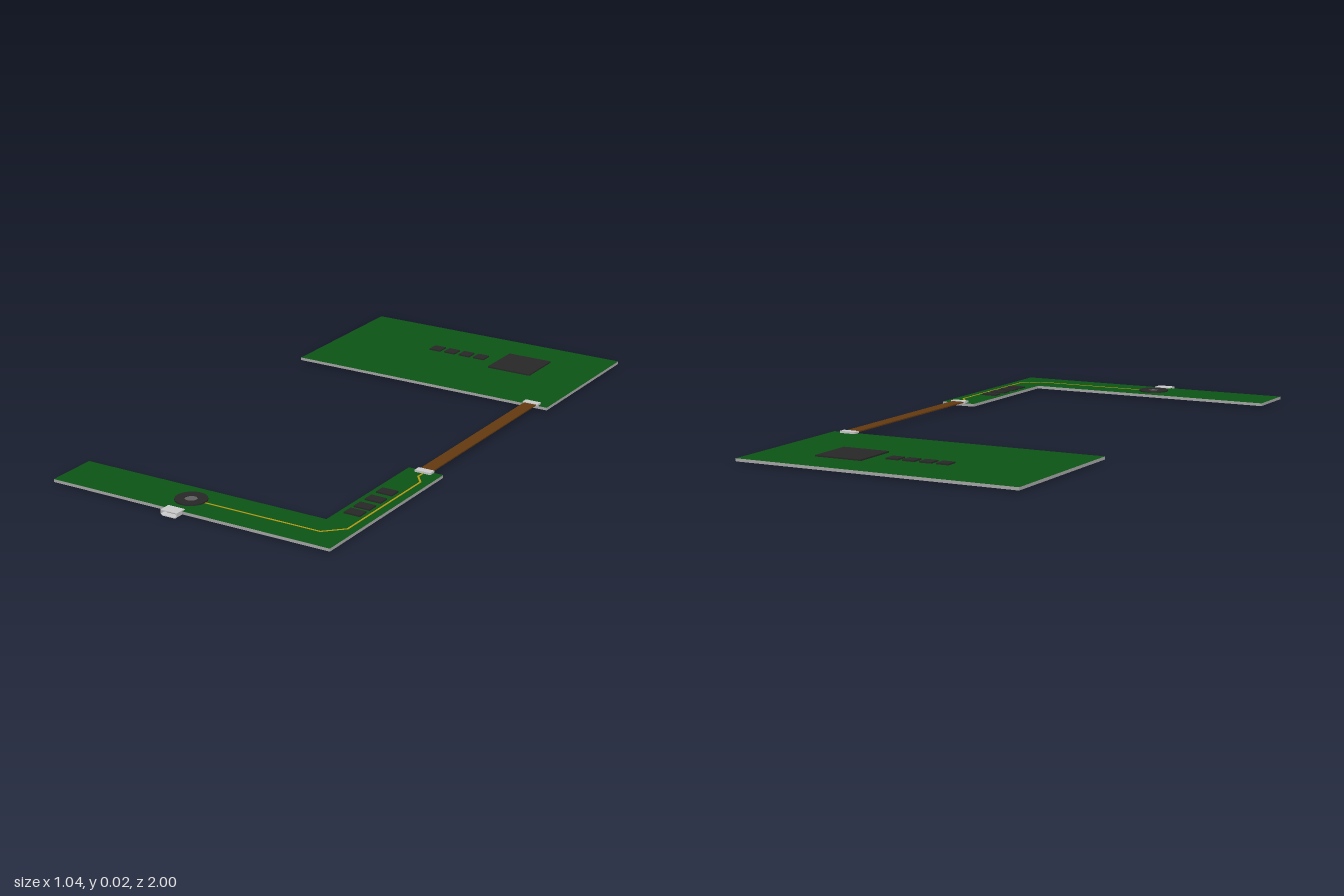
import * as THREE from 'three';

const paint = (color) => new THREE.MeshStandardMaterial({ color });
const GREEN = paint(0x0d5516), EDGE = paint(0xaaaaaa), CHIP = paint(0x282828);
const METAL = paint(0xcccccc), COPPER = paint(0x643a10), GOLD = paint(0xb59a12), PIN = paint(0x606060);
const BOTTOM = 0.006, TOP = 0.016;

export function createModel() {
  const model = new THREE.Group();

  const add = (name, geometry, material, x = 0, y = 0, z = 0) => {
    const mesh = new THREE.Mesh(geometry, material);
    mesh.name = name;
    mesh.position.set(x, y, z);
    model.add(mesh);
    return mesh;
  };
  // Box given by its extents
  const block = (name, material, x0, x1, y0, y1, z0, z1) =>
    add(name, new THREE.BoxGeometry(x1 - x0, y1 - y0, z1 - z0), material,
      (x0 + x1) / 2, (y0 + y1) / 2, (z0 + z1) / 2);
  // Flat plate with the outline given as [x, z] pairs
  const plate = (name, outline, materials, y0, y1) => {
    const shape = new THREE.Shape(outline.map(([x, z]) => new THREE.Vector2(x, -z)));
    const geometry = new THREE.ExtrudeGeometry(shape, { depth: y1 - y0, bevelEnabled: false });
    geometry.rotateX(-Math.PI / 2);
    return add(name, geometry, materials, 0, y0, 0);
  };

  // Circuit boards: green faces, bare edges
  plate('mainBoard', [[-0.49, -1], [0.517, -1], [0.517, -0.43], [-0.49, -0.43]],
    [GREEN, EDGE], BOTTOM, TOP);
  plate('cornerBoard', [[0.39, 0.293], [0.517, 0.293], [0.517, 0.972], [-0.52, 0.972],
    [-0.52, 0.79], [0.39, 0.79]], [GREEN, EDGE], BOTTOM, TOP);

  // Chips
  block('processor', CHIP, 0.145, 0.314, TOP, 0.021, -0.858, -0.69);
  for (const x of [-0.111, -0.05, 0.011, 0.071])
    block('mainBoardChip', CHIP, x - 0.022, x + 0.022, TOP, 0.021, -0.796, -0.752);
  for (const z of [0.512, 0.581, 0.647, 0.704])
    block('cornerBoardChip', CHIP, 0.411, 0.469, TOP, 0.021, z - 0.02, z + 0.02);

  // Flat ribbon cable and its end connectors
  block('ribbonCable', COPPER, 0.431, 0.477, 0.017, 0.021, -0.44, 0.307);
  for (const z of [-0.438, 0.303])
    block('ribbonConnector', METAL, 0.425, 0.483, TOP, 0.023, z - 0.013, z + 0.013);

  // Trace: a thin strip offset to both sides of a path, with mitred corners
  const path = [[0.455, 0.31], [0.455, 0.345], [0.485, 0.383], [0.485, 0.82], [0.425, 0.88], [-0.01, 0.88]]
    .map(([x, z]) => new THREE.Vector2(x, z));
  const sides = [[], []];
  path.forEach((p, i) => {
    const before = p.clone().sub(path[Math.max(i - 1, 0)]).normalize();
    const after = path[Math.min(i + 1, path.length - 1)].clone().sub(p).normalize();
    const along = before.clone().add(after).normalize();
    const cosine = along.dot(i ? before : after);
    const dx = -along.y * 0.0033 / cosine, dz = along.x * 0.0033 / cosine;
    sides[0].push([p.x + dx, p.y + dz]);
    sides[1].unshift([p.x - dx, p.y - dz]);
  });
  plate('trace', [...sides[0], ...sides[1]], GOLD, TOP, 0.0168);

  // Round socket: ring with a centre pin
  const ring = [[0.021, 0], [0.053, 0], [0.053, 0.005], [0.021, 0.005], [0.021, 0]]
    .flatMap(([r, y]) => [new THREE.Vector2(r, y), new THREE.Vector2(r, y)]);
  add('socketRing', new THREE.LatheGeometry(ring, 32), CHIP, -0.05, TOP, 0.88);
  add('socketCentre', new THREE.CylinderGeometry(0.021, 0.021, 0.003, 32), PIN, -0.05, TOP + 0.0015, 0.88);

  // Plug port: hollow metal shell, chamfered at the bottom corners
  const portOutline = (inset) => [[-0.031, 0.019], [-0.031, 0.006], [-0.024, 0], [0.024, 0], [0.031, 0.006], [0.031, 0.019]]
    .map(([x, y]) => new THREE.Vector2(x * (1 - inset / 0.031), 0.0095 + (y - 0.0095) * (1 - inset / 0.0095)));
  const shell = new THREE.Shape(portOutline(0));
  shell.holes.push(new THREE.Path(portOutline(0.0025)));
  add('portShell', new THREE.ExtrudeGeometry(shell, { depth: 0.042, bevelEnabled: false }), METAL, -0.05, 0, 0.958);
  add('portBack', new THREE.ExtrudeGeometry(new THREE.Shape(portOutline(0.002)),
    { depth: 0.016, bevelEnabled: false }), PIN, -0.05, 0, 0.959);

  return model;
}
